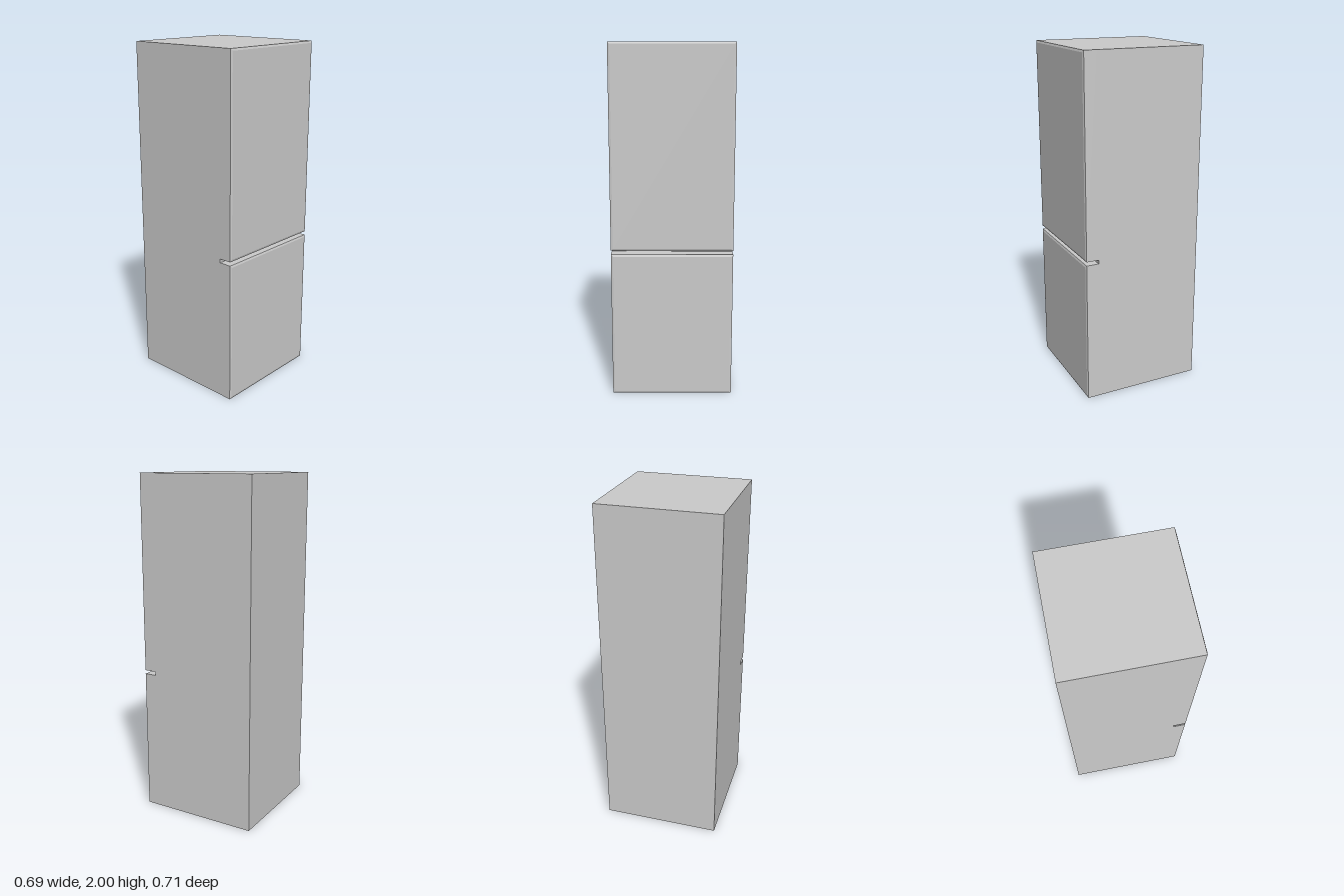
import * as THREE from 'three';

const WIDTH = 0.688, HEIGHT = 2;
const BACK = -0.356, SEAM = 0.279, FRONT = 0.356;

// Door slab whose front face is framed by a shallow chamfer
function doorGeometry(height, depth, inset = 0.012, drop = 0.004) {
  const box = new THREE.BoxGeometry(WIDTH, height, depth, 1, 1, 2);
  const p = box.attributes.position;
  for (let i = 0; i < p.count; i++) {
    const z = p.getZ(i);
    if (Math.abs(z) < 1e-5) {
      p.setZ(i, depth / 2 - drop);
    } else if (z > 0) {
      p.setX(i, p.getX(i) - Math.sign(p.getX(i)) * inset);
      p.setY(i, p.getY(i) - Math.sign(p.getY(i)) * inset);
    }
  }
  const flat = box.toNonIndexed();
  flat.computeVertexNormals();
  return flat;
}

export function createModel() {
  const model = new THREE.Group();
  model.name = 'refrigerator';
  const material = new THREE.MeshStandardMaterial({ color: 0xcccccc });

  // Main cabinet
  const cabinet = new THREE.Mesh(new THREE.BoxGeometry(WIDTH, HEIGHT, SEAM - BACK), material);
  cabinet.name = 'cabinet';
  cabinet.position.set(0, HEIGHT / 2, (BACK + SEAM) / 2);
  model.add(cabinet);

  // Freezer door below, fridge door above, with an open grip slot between
  const doors = [['lowerDoor', 0, 0.836], ['upperDoor', 0.858, HEIGHT]];
  for (const [name, bottom, top] of doors) {
    const door = new THREE.Mesh(doorGeometry(top - bottom, FRONT - SEAM), material);
    door.name = name;
    door.position.set(0, (bottom + top) / 2, (SEAM + FRONT) / 2);
    model.add(door);
  }
  return model;
}
